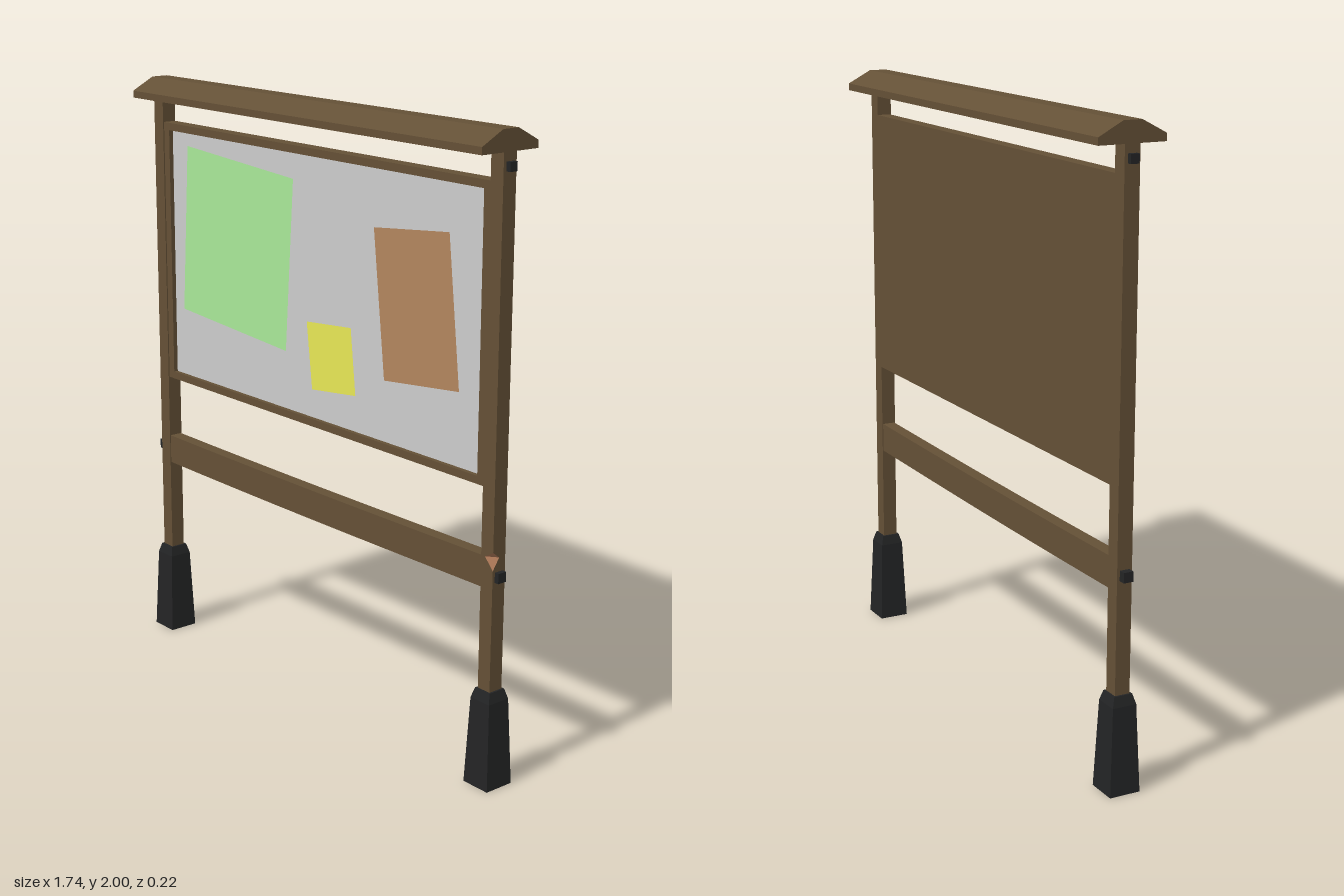
import * as THREE from 'three';

const mat = (color, side = THREE.FrontSide) =>
  new THREE.MeshStandardMaterial({ color, side, flatShading: true });

export function createModel() {
  const model = new THREE.Group();
  const wood = mat(0x645036);
  const black = mat(0x232425);
  const grey = mat(0xcccccc);

  const add = (name, geometry, material) => {
    const mesh = new THREE.Mesh(geometry, material);
    mesh.name = name;
    model.add(mesh);
    return mesh;
  };
  const box = (name, w, h, d, x, y, z, material = wood) =>
    add(name, new THREE.BoxGeometry(w, h, d), material).position.set(x, y, z);
  const triangles = (points) => {
    const g = new THREE.BufferGeometry();
    g.setAttribute('position', new THREE.Float32BufferAttribute(points.flat(), 3));
    g.computeVertexNormals();
    return g;
  };

  // Right-hand post, plain
  const postX = 0.82, half = 0.025, postTop = 1.94;
  box('rightPost', 0.05, postTop - 0.02, 0.05, -postX, postTop / 2 + 0.01, 0);

  // Left-hand post: stacked sections whose front outer corner is chipped away
  const levels = [[0.02, 0], [0.7, 0], [0.738, 1], [0.758, 0], [postTop, 0]];
  const outer = postX + half, inner = postX - half;
  const sections = levels.map(([y, cut]) => [
    [outer, y, half - 0.025 * cut],
    [outer, y, -half],
    [inner, y, -half],
    [inner, y, half],
    [outer - 0.034 * cut, y, half],
  ]);
  const walls = [];
  for (let i = 0; i < sections.length - 1; i++) {
    for (let j = 0; j < 4; j++) {
      const a = sections[i][j], b = sections[i][j + 1];
      const c = sections[i + 1][j + 1], d = sections[i + 1][j];
      walls.push(a, b, c, a, c, d);
    }
  }
  add('leftPost', triangles(walls), wood);

  // Bare wood inside the chip
  const low = sections[1][0], high = sections[3][0];
  const sideTip = sections[2][0], frontTip = sections[2][4];
  add('chippedWood', triangles([high, frontTip, sideTip, low, sideTip, frontTip]),
    mat(0xa87555, THREE.DoubleSide));

  // Tapered four-sided feet with a wooden underside
  const footProfile = [[0.051, 0], [0.04, 0.28], [0.031, 0.312], [0, 0.312]]
    .map(([r, y]) => new THREE.Vector2(r * Math.SQRT2, y));
  for (const side of [-1, 1]) {
    const label = side > 0 ? 'left' : 'right';
    add(label + 'Foot', new THREE.LatheGeometry(footProfile, 4, Math.PI / 4), black)
      .position.x = side * postX;
    box(label + 'FootBase', 0.1, 0.004, 0.1, side * postX, 0.002, 0);
    // Bolts on the outer faces
    box(label + 'UpperBolt', 0.03, 0.028, 0.028, side * 0.845, 1.895, 0, black);
    box(label + 'LowerBolt', 0.04, 0.032, 0.032, side * (side > 0 ? 0.84 : 0.848),
      side > 0 ? 0.678 : 0.686, 0, black);
    // Upright sides of the board frame
    box(label + 'FrameSide', 0.03, 0.9, 0.046, side * 0.781, 1.4, -0.002);
  }

  // Roof cap: flat underside, sloped faces, narrow flat ridge
  const roof = new THREE.Shape([[-0.11, 1.935], [0.11, 1.935], [0.11, 1.958],
    [0.03, 2], [-0.03, 2], [-0.11, 1.958]].map((p) => new THREE.Vector2(...p)));
  const roofGeometry = new THREE.ExtrudeGeometry(roof, { depth: 1.69, bevelEnabled: false });
  roofGeometry.translate(0, 0, -0.845).rotateY(Math.PI / 2);
  add('roof', roofGeometry, wood);

  // Notice board with its frame
  box('frameTop', 1.59, 0.025, 0.046, 0, 1.8375, -0.002);
  box('frameBottom', 1.59, 0.025, 0.046, 0, 0.9625, -0.002);
  box('backPanel', 1.54, 0.86, 0.023, 0, 1.4, -0.0135);
  box('boardSurface', 1.535, 0.855, 0.008, 0, 1.4, 0.002, grey);

  // Pinned sheets
  const sheets = {
    greenSheet: [0xa8e898, [[-0.714, 1.21], [-0.148, 1.17], [-0.108, 1.74], [-0.677, 1.78]]],
    yellowSheet: [0xe6e655, [[-0.013, 1.069], [0.201, 1.093], [0.177, 1.308], [-0.04, 1.289]]],
    brownSheet: [0xb2855d, [[0.336, 1.172], [0.669, 1.207], [0.616, 1.676], [0.283, 1.642]]],
  };
  for (const [name, [color, corners]] of Object.entries(sheets)) {
    const shape = new THREE.Shape(corners.map((p) => new THREE.Vector2(...p)));
    add(name, new THREE.ShapeGeometry(shape), mat(color, THREE.DoubleSide)).position.z = 0.009;
  }

  // Lower rail, sagging slightly along its length
  const rail = new THREE.BoxGeometry(1.6, 0.1, 0.044, 8, 1, 1);
  const pos = rail.attributes.position;
  for (let i = 0; i < pos.count; i++) {
    pos.setY(i, pos.getY(i) - 0.005 * Math.cos((pos.getX(i) + 0.2) * 1.8));
  }
  rail.computeVertexNormals();
  add('lowerRail', rail, wood).position.y = 0.686;

  return model;
}
